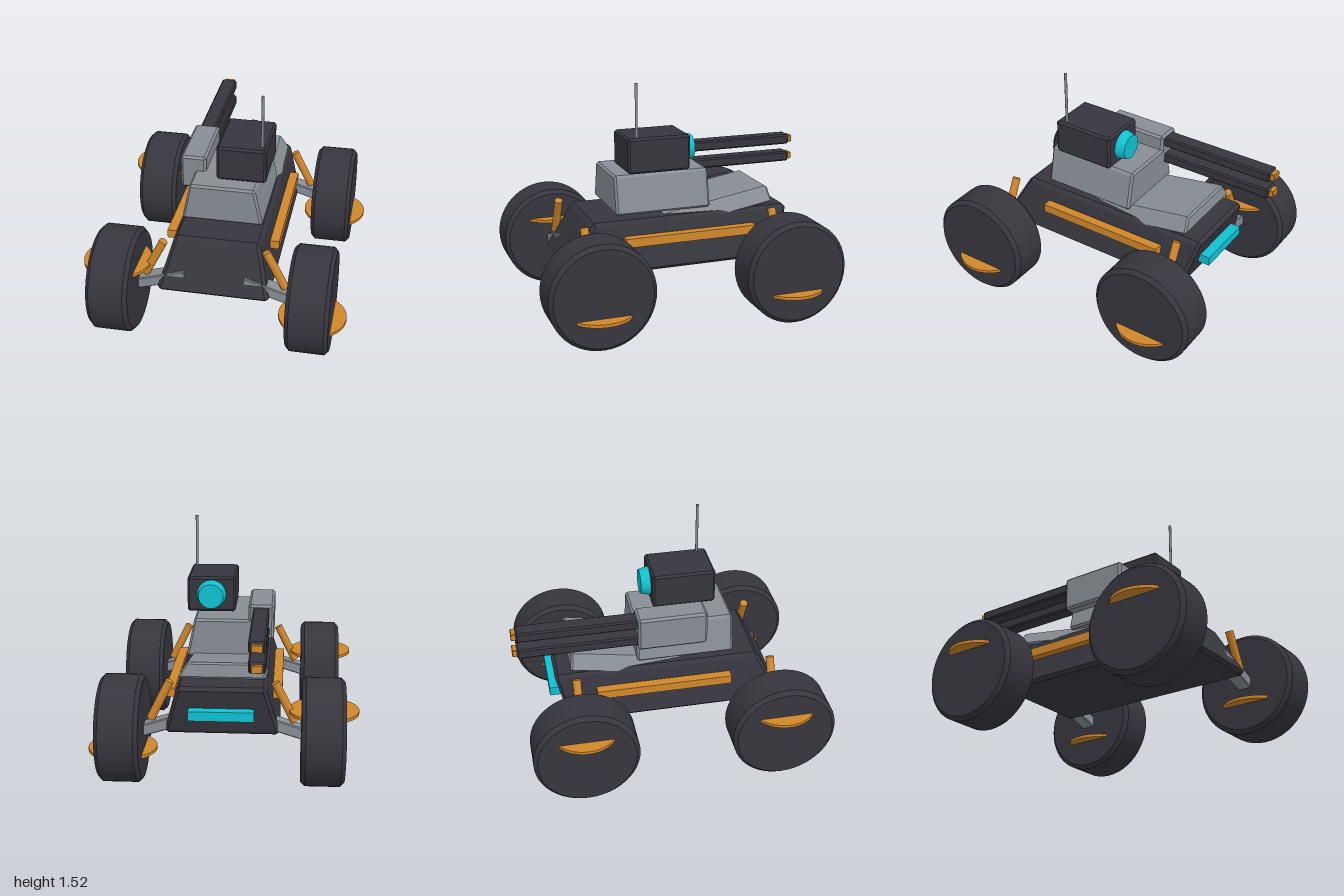
import * as THREE from 'three';
import { toCreasedNormals } from 'three/addons/utils/BufferGeometryUtils.js';
import { ConvexGeometry } from 'three/addons/geometries/ConvexGeometry.js';

const paint = (name, color) => {
  const m = new THREE.MeshStandardMaterial({ color });
  m.name = name;
  return m;
};

// Chamfered block spanning [x0,x1] x [y0,y1] x [z0,z1]; shape() moves each corner by a rule.
function block([x0, x1], [y0, y1], [z0, z1], bevel = 0.01, shape = (v) => v) {
  const pts = [];
  for (const sx of [0, 1]) for (const sy of [0, 1]) for (const sz of [0, 1]) {
    const corner = shape(new THREE.Vector3(sx ? x1 : x0, sy ? y1 : y0, sz ? z1 : z0), sy, sz);
    const inset = [sx ? -bevel : bevel, sy ? -bevel : bevel, sz ? -bevel : bevel];
    for (let keep = 0; keep < 3; keep++) {
      const d = inset.map((v, i) => (i === keep ? 0 : v));
      pts.push(corner.clone().add(new THREE.Vector3(...d)));
    }
  }
  return new ConvexGeometry(pts);
}

export function createModel() {
  const dark = paint('charcoal', 0x37363e);
  const grey = paint('steel grey', 0x888e95);
  const orange = paint('orange', 0xd0872b);
  const cyan = paint('cyan', 0x10c2d2);

  const model = new THREE.Group();
  model.name = 'buggy';
  const add = (name, geometry, material, parent = model) => {
    const mesh = new THREE.Mesh(geometry, material);
    mesh.name = name;
    parent.add(mesh);
    return mesh;
  };

  // Hull: narrows upward, sloped front, overhanging rear
  add('hull', block([-0.355, 0.355], [0.325, 0.65], [-0.67, 0.75], 0.022, (v, top, front) => {
    if (top) {
      v.x *= 0.78;
      v.z = front ? 0.6 : -0.745;
    }
    return v;
  }), dark);

  // Tilted deck plate rising to the rear
  const deck = add('deckPlate', block([-0.27, 0.27], [-0.1, 0], [-0.94, 0], 0.012, (v, top) => {
    if (top) v.x *= 0.83;
    return v;
  }), grey);
  deck.position.set(0, 0.615, 0.3);
  deck.rotation.x = 0.17;

  // Rear light bar
  add('rearLight', new THREE.BoxGeometry(0.4, 0.06, 0.1).translate(0, 0.48, -0.73), cyan);

  // Turret and its side box
  add('turret', block([-0.258, 0.258], [0.68, 0.93], [-0.205, 0.43], 0.014, (v, top) => {
    if (top) v.x *= 0.82;
    return v;
  }), grey);
  add('ammoBox', block([-0.305, -0.14], [0.8, 1.028], [-0.205, 0.245], 0.015), grey);

  // Twin guns
  for (const y of [0.855, 0.978]) {
    add('gunBarrel', block([-0.275, -0.17], [y - 0.034, y + 0.034], [-0.97, -0.15], 0.01), dark);
    add('gunTip', block([-0.257, -0.188], [y - 0.024, y + 0.024], [-1, -0.96], 0.004), orange);
  }

  // Sensor head, lens and antenna
  add('sensorHead', block([-0.05, 0.265], [0.945, 1.175], [-0.063, 0.352], 0.014), dark);
  const lens = toCreasedNormals(new THREE.CylinderGeometry(0.08, 0.098, 0.07, 28), 0.6);
  lens.rotateX(-Math.PI / 2).translate(0.108, 1.06, -0.09);
  add('lens', lens, cyan);
  add('antenna', new THREE.CylinderGeometry(0.009, 0.009, 0.36, 10).translate(0.23, 1.34, 0.287), grey);

  // Wheel profile revolved about the axle
  const profile = [[0, -0.133], [0.312, -0.133], [0.337, -0.108], [0.337, 0.108], [0.312, 0.133], [0, 0.133]];
  const wheel = toCreasedNormals(
    new THREE.LatheGeometry(profile.map((p) => new THREE.Vector2(...p)), 48), 0.5
  ).rotateZ(Math.PI / 2);
  const disc = toCreasedNormals(new THREE.CylinderGeometry(0.215, 0.215, 0.02, 40), 0.6);
  const shock = new THREE.CylinderGeometry(0.027, 0.027, 0.275, 16);
  const arm = block([-0.21, 0.21], [-0.036, 0.036], [-0.047, 0.047], 0.006);

  for (const side of [-1, 1]) {
    // Side rail
    add('sideRail', new THREE.BoxGeometry(0.06, 0.058, 0.885).translate(side * 0.337, 0.529, -0.043), orange);

    for (const [end, z] of [['front', 0.663], ['rear', -0.613]]) {
      const corner = new THREE.Group();
      corner.name = end + (side > 0 ? 'LeftWheelUnit' : 'RightWheelUnit');
      corner.position.z = z;
      model.add(corner);

      add('wheel', wheel, dark, corner).position.set(side * 0.62, 0.337, 0);
      add('hubDisc', disc, orange, corner).position.set(side * 0.625, 0.34 - side * 0.135, 0);

      const link = add('suspensionArm', arm, grey, corner);
      link.position.set(side * 0.385, 0.367, 0);
      link.rotation.z = side * -0.3;

      const strut = add('shockAbsorber', shock, orange, corner);
      strut.position.set(side * 0.385, 0.525, 0);
      strut.rotation.z = side * 0.46;
    }
  }
  return model;
}
